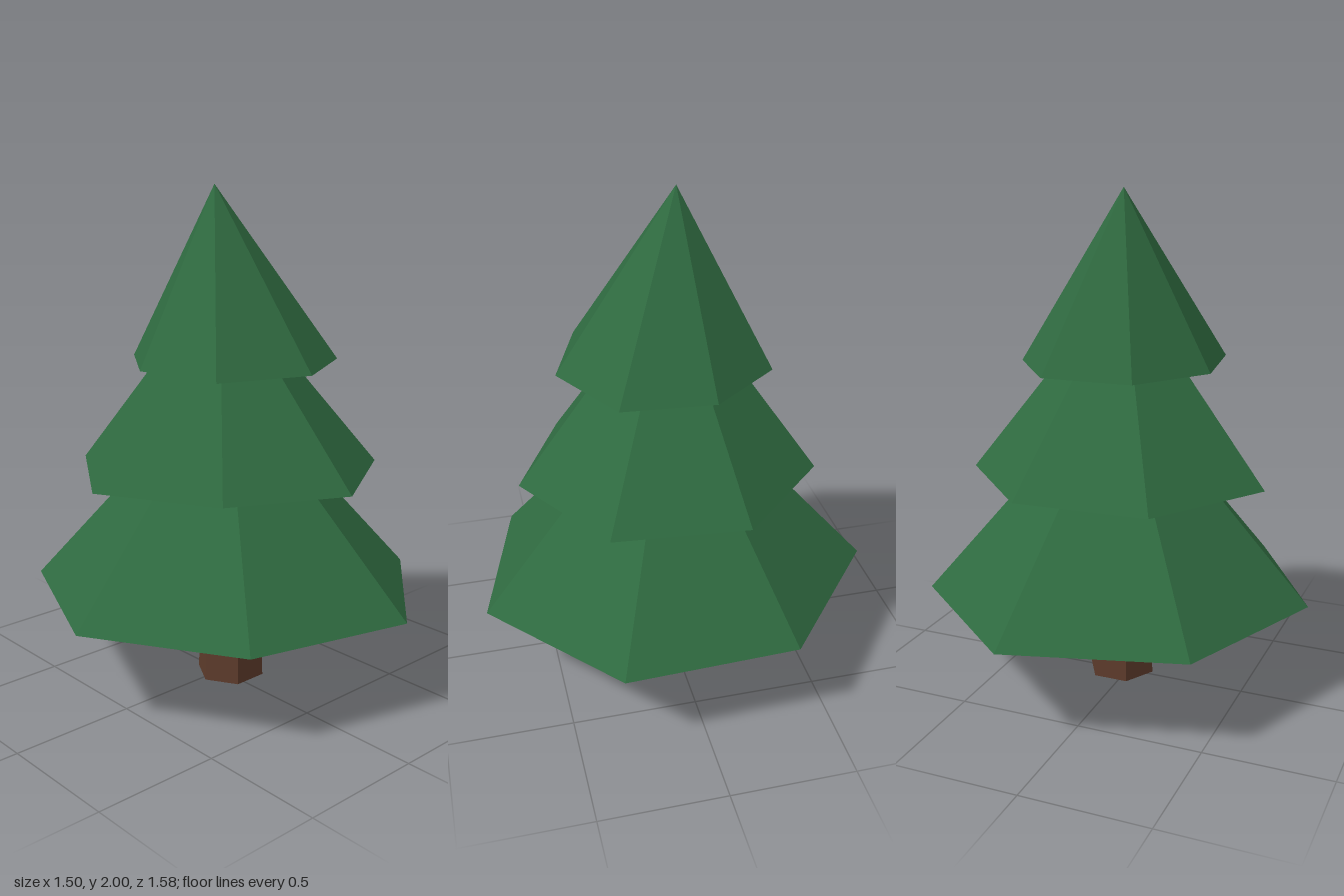
import * as THREE from 'three';

const foliageGreen = new THREE.MeshStandardMaterial({ color: 0x2f6a40 });
const barkBrown = new THREE.MeshStandardMaterial({ color: 0x5d3b2b });

// Slightly irregular seven-sided tiers: base height, apex, and rim as [x, z]
const tiers = [
  { name: 'lowerBranches', y: 0.4, apex: [0.03, 1.28, -0.005],
    rim: [[0.192, -0.79], [0.726, -0.346], [0.75, 0.335], [0.234, 0.785], [-0.414, 0.611], [-0.752, 0.038], [-0.485, -0.598]] },
  { name: 'middleBranches', y: 0.888, apex: [0.01, 1.66, -0.015],
    rim: [[0.234, -0.547], [0.594, -0.18], [0.548, 0.339], [0.1, 0.61], [-0.347, 0.393], [-0.588, -0.062], [-0.293, -0.518]] },
  { name: 'topBranches', y: 1.322, apex: [0, 2, -0.036],
    rim: [[0.197, -0.364], [0.414, -0.092], [0.385, 0.264], [0.054, 0.439], [-0.305, 0.312], [-0.36, -0.054], [-0.16, -0.346]] },
];

// Faceted pyramid with a flat underside
function branchTier({ name, y, apex, rim }) {
  const points = [];
  const centre = [apex[0], y, apex[2]];
  rim.forEach(([x, z], i) => {
    const [nx, nz] = rim[(i + 1) % rim.length];
    const a = [x, y, z], b = [nx, y, nz];
    points.push(...a, ...apex, ...b); // sloping side
    points.push(...centre, ...a, ...b); // underside
  });
  const geometry = new THREE.BufferGeometry();
  geometry.setAttribute('position', new THREE.Float32BufferAttribute(points, 3));
  geometry.computeVertexNormals();
  const mesh = new THREE.Mesh(geometry, foliageGreen);
  mesh.name = name;
  return mesh;
}

export function createModel() {
  const tree = new THREE.Group();
  tree.name = 'pineTree';

  // Tapered six-sided trunk, running just into the lowest tier
  const height = 0.45;
  const trunkGeometry = new THREE.CylinderGeometry(0.125, 0.14, height, 6, 1, false, Math.PI / 6).toNonIndexed();
  trunkGeometry.computeVertexNormals();
  const trunk = new THREE.Mesh(trunkGeometry, barkBrown);
  trunk.name = 'trunk';
  trunk.position.set(0.035, height / 2, 0.022);
  tree.add(trunk);

  // Foliage
  tiers.forEach((tier) => tree.add(branchTier(tier)));
  return tree;
}
